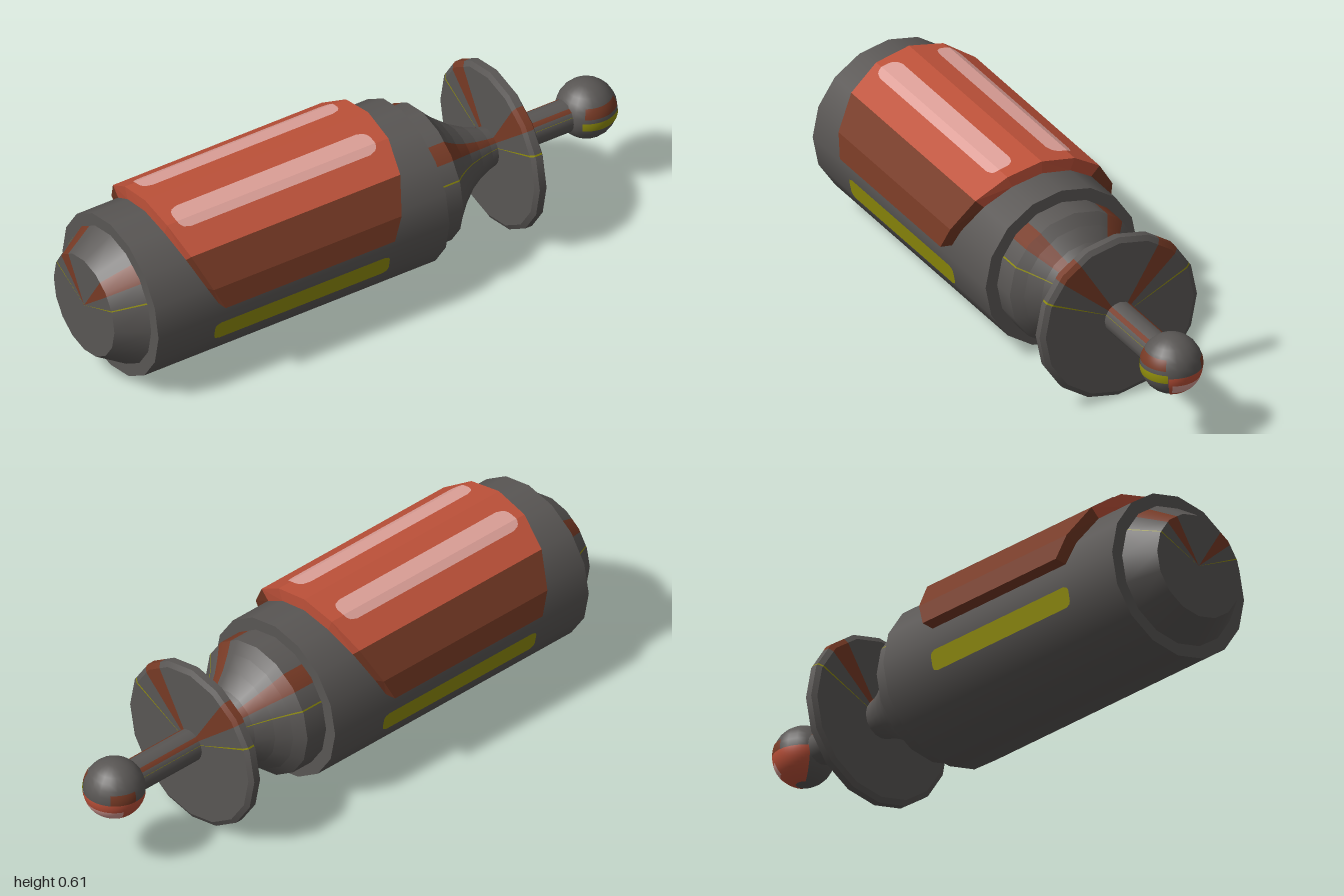
import * as THREE from 'three';

const mat = (name, color, side = THREE.FrontSide) => {
  const m = new THREE.MeshStandardMaterial({ color, side });
  m.name = name;
  return m;
};

const CY = 0.288;              // height of the long axis
const STEP = 22.5;             // sixteen sides
const rad = (d) => (d * Math.PI) / 180;

// Scale from the corner radius to a flat side of the sixteen-sided section
const flatScale = (a) => {
  const m = ((a % STEP) + STEP) % STEP;
  return Math.cos(rad(STEP / 2)) / Math.cos(rad(m - STEP / 2));
};

// Point on the section: angle 0 is +z, 90 is up
const at = (x, r, a) => {
  const k = r * flatScale(a);
  return [x, CY + k * Math.sin(rad(a)), k * Math.cos(rad(a))];
};

// Angles from a0 to a1, always including the section corners
const angles = (a0, a1, extra = 0) => {
  const set = new Set([a0, a1]);
  for (let a = Math.ceil(a0 / STEP) * STEP; a < a1; a += STEP) set.add(a);
  for (let i = 1; i < extra; i++) set.add(a0 + ((a1 - a0) * i) / extra);
  return [...set].sort((p, q) => p - q);
};

// Geometry from quads [p, q, r, s] counter-clockwise, with optional normals
function fromQuads(quads, normals) {
  const pos = [], nor = [];
  quads.forEach((q, i) => {
    for (const c of [0, 1, 2, 0, 2, 3]) {
      pos.push(...q[c]);
      if (normals) nor.push(...normals[i][c]);
    }
  });
  const g = new THREE.BufferGeometry();
  g.setAttribute('position', new THREE.Float32BufferAttribute(pos, 3));
  if (normals) g.setAttribute('normal', new THREE.Float32BufferAttribute(nor, 3));
  else g.computeVertexNormals();
  return g;
}

// Sector of a profile [x, r] turned about the long axis, smooth around
function turned(profile, a0, a1) {
  const list = angles(a0, a1), quads = [], normals = [];
  for (let i = 0; i + 1 < profile.length; i++) {
    const [x0, r0] = profile[i], [x1, r1] = profile[i + 1];
    const len = Math.hypot(x1 - x0, r1 - r0);
    const n = (a) => [(r0 - r1) / len, ((x1 - x0) / len) * Math.sin(rad(a)), ((x1 - x0) / len) * Math.cos(rad(a))];
    for (let j = 0; j + 1 < list.length; j++) {
      const a = list[j], b = list[j + 1];
      quads.push([at(x0, r0, a), at(x1, r1, a), at(x1, r1, b), at(x0, r0, b)]);
      normals.push([n(a), n(a), n(b), n(b)]);
    }
  }
  return fromQuads(quads, normals);
}

// Thin strip with rounded corners lying on the section
function strip(r, a0, a1, x0, x1, corner) {
  const width = r * rad(a1 - a0);
  const inset = (a) => {
    const d = Math.max(0, corner - Math.min(r * rad(a - a0), width - r * rad(a - a0)));
    return corner - Math.sqrt(Math.max(0, corner * corner - d * d));
  };
  const list = angles(a0, a1, 12), quads = [];
  for (let j = 0; j + 1 < list.length; j++) {
    const a = list[j], b = list[j + 1];
    quads.push([at(x0 + inset(a), r, a), at(x1 - inset(a), r, a), at(x1 - inset(b), r, b), at(x0 + inset(b), r, b)]);
  }
  return fromQuads(quads);
}

export function createModel() {
  const grey = mat('darkGrey', 0x595654);
  const red = mat('rustRed', 0xbd5139);
  const brown = mat('brown', 0x773a25);
  const pink = mat('palePink', 0xdc9f97, THREE.DoubleSide);
  const yellow = mat('oliveYellow', 0x918e0c, THREE.DoubleSide);

  const model = new THREE.Group();
  model.name = 'cylinderDevice';
  const add = (name, geometry, material, parent = model) => {
    const m = new THREE.Mesh(geometry, material);
    m.name = name;
    parent.add(m);
    return m;
  };

  // Painted sectors around the axis: [from, to, material]
  const sectors = [
    [-202.5, 24, grey], [24, 25.2, yellow], [25.2, 41, grey], [41, 58, brown],
    [58, 122, grey], [122, 139, brown], [139, 154.8, grey], [154.8, 156, yellow], [156, 157.5, grey],
  ];
  const banded = (name, profile) => {
    const g = new THREE.Group();
    g.name = name;
    sectors.forEach(([a, b, m]) => add(name + 'Sector', turned(profile, a, b), m, g));
    model.add(g);
  };

  // Main body
  add('body', turned([[-0.9, 0.235], [-0.9, 0.277], [0.2, 0.277], [0.2, 0.235]], 0, 360), grey);

  // Rear cone, flared neck, collar disc and rod
  banded('rearCone', [[-1, 0], [-1, 0.175], [-0.9, 0.235]]);
  banded('neck', [[0.2, 0.235], [0.28, 0.235], [0.31, 0.2], [0.35, 0.16], [0.4, 0.12],
    [0.45, 0.092], [0.5, 0.072], [0.53, 0.065]]);
  banded('collarDisc', [[0.525, 0.06], [0.525, 0.27], [0.535, 0.287], [0.56, 0.287], [0.57, 0.27], [0.57, 0.05]]);
  banded('rod', [[0.56, 0.055], [0.83, 0.055]]);

  // Saddle panel over the top, tapering down both sides
  const half = [0.32, 0.355, 0.395, 0.418, 0.422];
  const panelAngles = [8.5, 22.5, 45, 67.5, 90, 112.5, 135, 157.5, 171.5];
  const R = 0.32, IN = 0.277, CX = -0.348;
  for (let j = 0; j < 8; j++) {
    const ends = [j, j + 1].map((k) => [panelAngles[k], half[Math.min(k, 8 - k)]]);
    const [[a, ha], [b, hb]] = ends;
    const p = (s, r, t, h) => at(CX + s * h, r, t);
    const quads = [
      [p(-1, R, a, ha), p(1, R, a, ha), p(1, R, b, hb), p(-1, R, b, hb)],
      [p(1, R, a, ha), p(1, IN, a, ha), p(1, IN, b, hb), p(1, R, b, hb)],
      [p(-1, IN, a, ha), p(-1, R, a, ha), p(-1, R, b, hb), p(-1, IN, b, hb)],
    ];
    if (j === 0) quads.push([p(-1, IN, a, ha), p(1, IN, a, ha), p(1, R, a, ha), p(-1, R, a, ha)]);
    if (j === 7) quads.push([p(-1, R, b, hb), p(1, R, b, hb), p(1, IN, b, hb), p(-1, IN, b, hb)]);
    add('saddlePanel', fromQuads(quads), j < 2 || j > 5 ? brown : red);
  }

  // Pale strips on the panel and yellow strips on the body, both sides
  for (const flip of [false, true]) {
    const span = (a, b) => (flip ? [180 - b, 180 - a] : [a, b]);
    add('panelStrip', strip(0.323, ...span(62, 78), -0.73, 0.02, 0.035), pink);
    add('bodyStrip', strip(0.28, ...span(-22.3, -8), -0.68, -0.02, 0.02), yellow);
  }

  // Ball at the end of the rod, with painted patches
  const ball = new THREE.Group();
  ball.name = 'ball';
  ball.position.set(0.898, CY, 0);
  model.add(ball);
  add('ballCore', new THREE.SphereGeometry(0.1, 20, 14), grey, ball);
  const patch = (name, r, p0, p1, t0, t1, m) =>
    add(name, new THREE.SphereGeometry(r, 24, 12, rad(p0), rad(p1 - p0), rad(t0), rad(t1 - t0)), m, ball);
  patch('ballLowerPatch', 0.1012, 145, 330, 92, 165, red);
  patch('ballPalePatch', 0.102, 152, 245, 109, 133, pink);
  patch('ballFrontPatch', 0.1012, 55, 140, 57, 78, brown);
  patch('ballBackPatch', 0.1012, 220, 270, 71, 92, brown);
  patch('ballStripe', 0.1015, 50, 144, 86, 103, yellow);

  return model;
}
